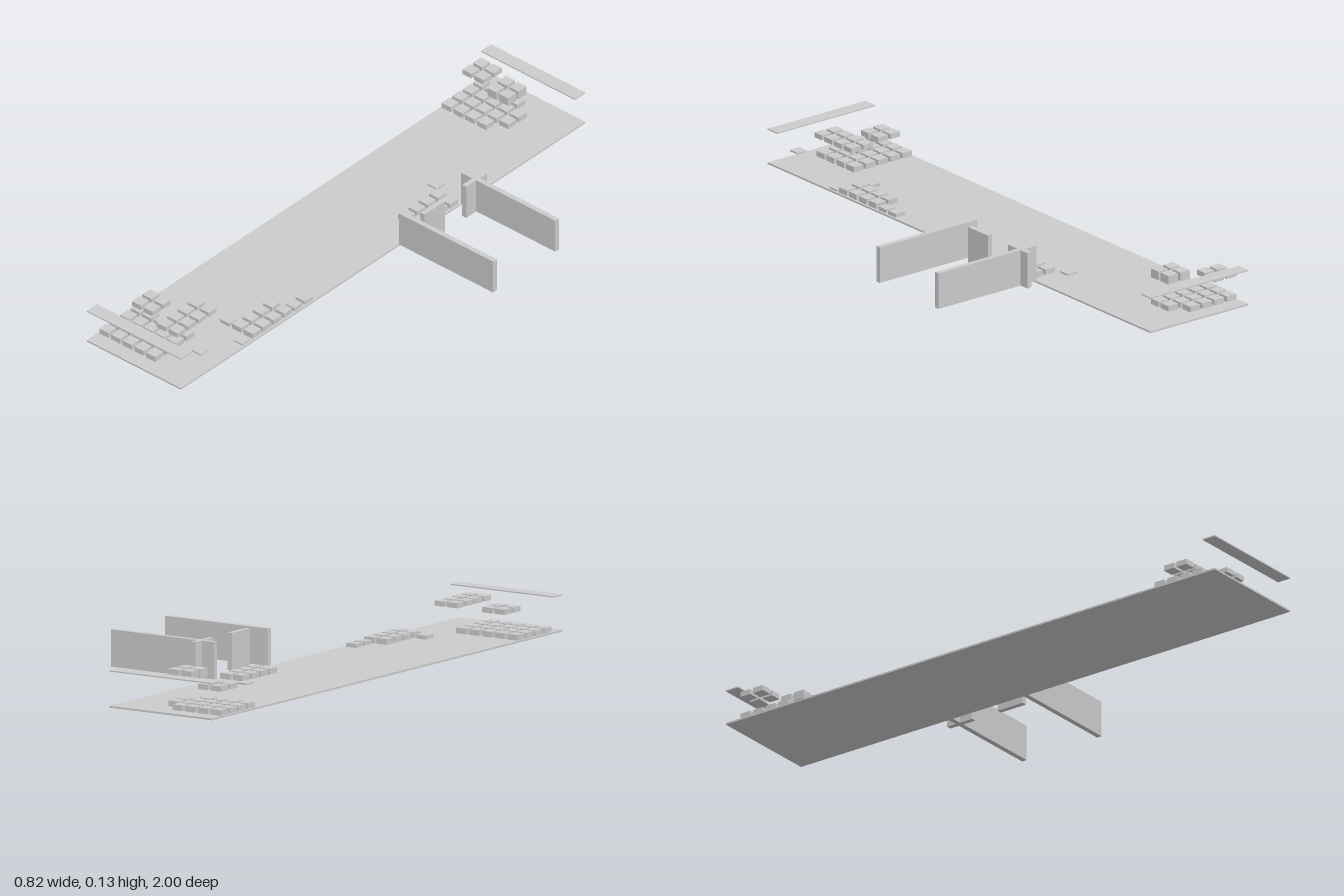
import * as THREE from 'three';

export function createModel() {
  const model = new THREE.Group();
  const grey = new THREE.MeshStandardMaterial({ color: 0xcccccc });
  grey.name = 'light grey';

  // Box given by its minimum and maximum corners
  function box(name, x0, x1, y0, y1, z0, z1) {
    const mesh = new THREE.Mesh(new THREE.BoxGeometry(x1 - x0, y1 - y0, z1 - z0), grey);
    mesh.name = name;
    mesh.position.set((x0 + x1) / 2, (y0 + y1) / 2, (z0 + z1) / 2);
    model.add(mesh);
  }

  const FLOOR = 0.006, PITCH = 0.0511, HALF = 0.02;

  // Rectangle of blocks on the regular grid: columns run along +x, rows along +z from the back
  function blocks(name, [c0, c1], [r0, r1], y0, y1) {
    for (let c = c0; c <= c1; c++) {
      for (let r = r0; r <= r1; r++) {
        const x = -0.385 + c * PITCH;
        const z = -0.924 + r * 0.05133;
        box(name, x - HALF, x + HALF, y0, y1, z - HALF, z + HALF);
      }
    }
  }

  // Floor slab and the raised strips over its two ends
  box('floor', -0.41, 0, 0, FLOOR, -1, 1);
  box('backStrip', -0.41, 0, 0.12, 0.124, -1, -0.95);
  box('frontStrip', -0.41, 0, 0.12, 0.124, 0.95, 1);

  // Long walls and the short walls across them
  for (const z of [-0.395, -0.088]) box('longWall', 0, 0.41, FLOOR, 0.13, z - 0.009, z + 0.009);
  for (const z of [-0.388, -0.181]) box('crossWall', 0.048, 0.066, FLOOR, 0.13, z - 0.051, z + 0.051);

  // Back cluster
  blocks('backFloorBlock', [0, 3], [0, 3], FLOOR, 0.025);
  blocks('backFloorBlock', [4, 4], [1, 2], FLOOR, 0.025);
  blocks('backRaisedBlock', [0, 1], [0, 1], 0.086, 0.104);
  blocks('backHighBlock', [3, 4], [1, 2], 0.1, 0.13);

  // Blocks beside the walls
  blocks('middleBlock', [6, 7], [11, 14], FLOOR, 0.025);
  blocks('middleLowBlock', [5, 5], [10, 10], FLOOR, 0.012);

  // Stepped run along the right edge of the floor
  blocks('edgeBlock', [7, 7], [25, 26], FLOOR, 0.019);
  blocks('edgeBlock', [6, 7], [27, 30], FLOOR, 0.025);
  blocks('edgeBlock', [5, 5], [30, 30], FLOOR, 0.019);
  blocks('edgeLowBlock', [7, 7], [31, 31], FLOOR, 0.012);

  // Front cluster
  blocks('frontFloorBlock', [0, 4], [33, 36], FLOOR, 0.025);
  blocks('frontRaisedBlock', [1, 2], [33, 34], 0.086, 0.104);
  blocks('frontHighBlock', [4, 5], [32, 35], 0.1, 0.117);
  blocks('frontThinBlock', [7, 7], [35, 35], 0.075, 0.08);

  return model;
}
